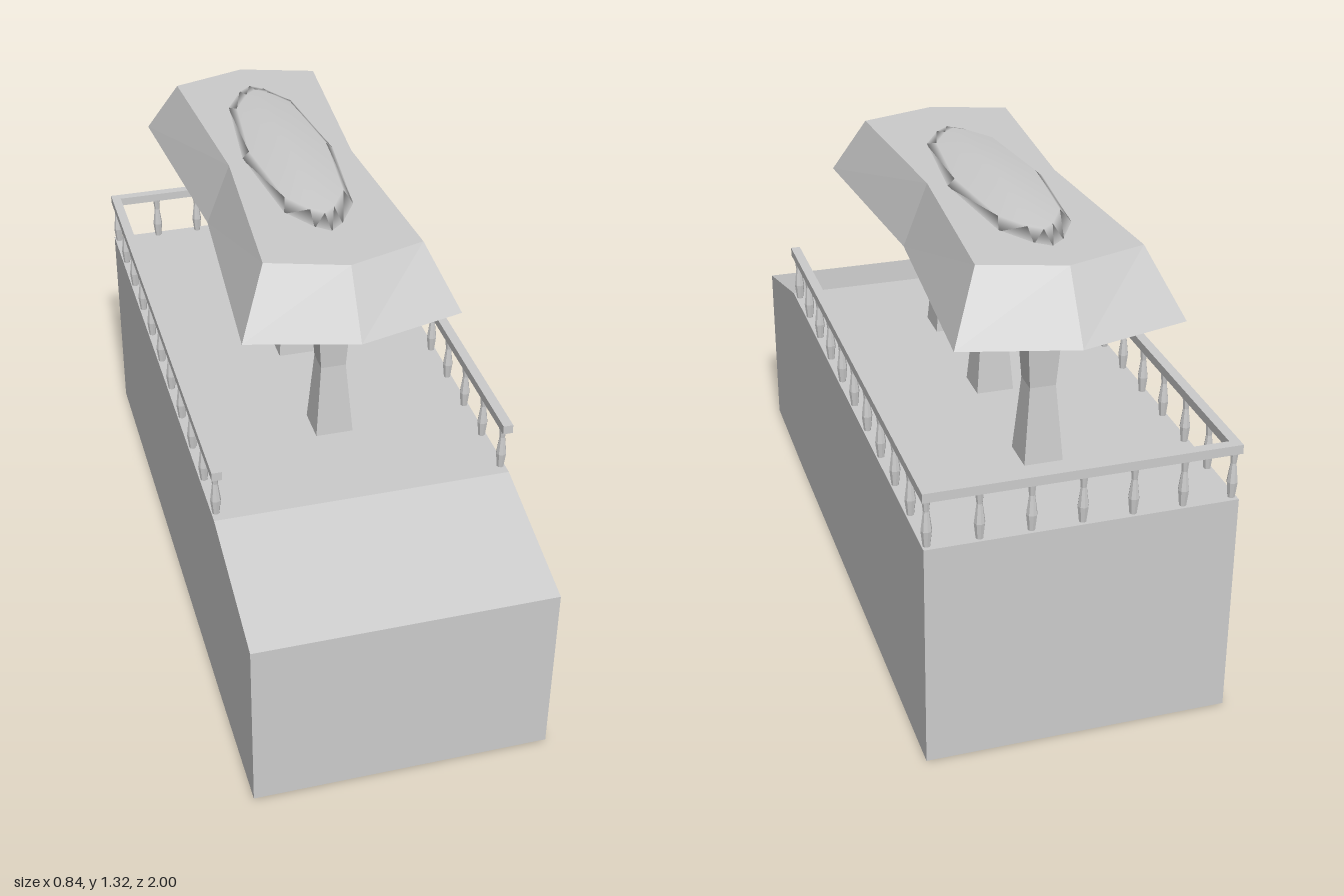
import * as THREE from 'three';

const flat = new THREE.MeshStandardMaterial({ color: 0xcccccc, flatShading: true });
const smooth = new THREE.MeshStandardMaterial({ color: 0xcccccc });

// Half outline (front to back, x >= 0) completed by mirroring across x = 0
const mirrored = (half) => [...half, ...half.slice(1, -1).reverse().map(([x, z]) => [-x, z])];

// Skin between rings of equal length, closed by fans at the bottom and top
function loft(rings, heights, centreZ, topY) {
  const n = rings[0].length, last = rings.length - 1;
  const pos = [], idx = [];
  rings.forEach((ring, k) => ring.forEach(([x, z]) => pos.push(x, heights[k], z)));
  const bottom = pos.length / 3, top = bottom + 1;
  pos.push(0, heights[0], centreZ, 0, topY, centreZ);
  for (let i = 0; i < n; i++) {
    const j = (i + 1) % n;
    for (let k = 0; k < last; k++) {
      const a = k * n + i, b = k * n + j;
      idx.push(a, b, b + n, a, b + n, a + n);
    }
    idx.push(bottom, j, i, top, last * n + i, last * n + j);
  }
  const geo = new THREE.BufferGeometry();
  geo.setAttribute('position', new THREE.Float32BufferAttribute(pos, 3));
  geo.setIndex(idx);
  geo.computeVertexNormals();
  return geo;
}

export function createModel() {
  const model = new THREE.Group();
  const add = (name, geo, x = 0, y = 0, z = 0, mat = flat) => {
    const mesh = new THREE.Mesh(geo, mat);
    mesh.name = name;
    mesh.position.set(x, y, z);
    model.add(mesh);
  };
  const turned = (profile, sides, phi = 0) =>
    new THREE.LatheGeometry(profile.map(([r, y]) => new THREE.Vector2(r, y)), sides, phi);

  // Solid base with a sloping front edge, side profile drawn as (z, y)
  const side = new THREE.Shape([[-1, 0], [0.6, 0], [1, 0.01], [1, 0.54], [0.59, 0.65], [-1, 0.65]]
    .map(([z, y]) => new THREE.Vector2(z, y)));
  const base = new THREE.ExtrudeGeometry(side, { depth: 0.84, bevelEnabled: false });
  base.translate(0, 0, -0.42).rotateY(-Math.PI / 2);
  add('base', base);

  // Square columns with a narrow waist
  const q = Math.SQRT2;
  const column = turned([[0.054 * q, 0.65], [0.036 * q, 0.87], [0.053 * q, 1.12]], 4, Math.PI / 4);
  for (const z of [0.235, -0.195, -0.625]) add('column', column, 0, 0, z);

  // Waisted canopy with sloping sides
  const eaves = mirrored([[0, 0.54], [0.303, 0.46], [0.252, -0.2], [0.303, -0.87], [0, -0.95]]);
  const crown = mirrored([[0, 0.43], [0.22, 0.36], [0.183, -0.2], [0.22, -0.77], [0, -0.84]]);
  add('canopy', loft([eaves, crown], [1.113, 1.29], -0.2, 1.29));

  // Shallow pointed dome on the canopy
  const rim = mirrored([[0, 0.25], [0.04, 0.215], [0.1, 0.115], [0.137, -0.235],
    [0.1, -0.58], [0.04, -0.685], [0, -0.72]]);
  const shrink = (s) => rim.map(([x, z]) => [x * s, -0.235 + (z + 0.235) * s]);
  add('dome', loft([rim, shrink(0.84)], [1.288, 1.308], -0.235, 1.32), 0, 0, 0, smooth);

  // Handrail along both sides and the back
  for (const s of [1, -1]) {
    add('sideRail', new THREE.BoxGeometry(0.028, 0.026, 1.59), s * 0.408, 0.797, -0.205);
  }
  add('backRail', new THREE.BoxGeometry(0.79, 0.026, 0.028), 0, 0.797, -0.986);

  // Turned balusters under the handrail
  const baluster = turned([[0.01, 0.65], [0.015, 0.695], [0.008, 0.75], [0.012, 0.786]], 8);
  for (let i = 0; i < 11; i++) {
    const z = 0.555 - i * 0.1535;
    for (const s of [1, -1]) add('sideBaluster', baluster, s * 0.407, 0, z);
  }
  for (let i = 1; i < 6; i++) add('backBaluster', baluster, -0.407 + i * 0.1357, 0, -0.982);

  return model;
}
